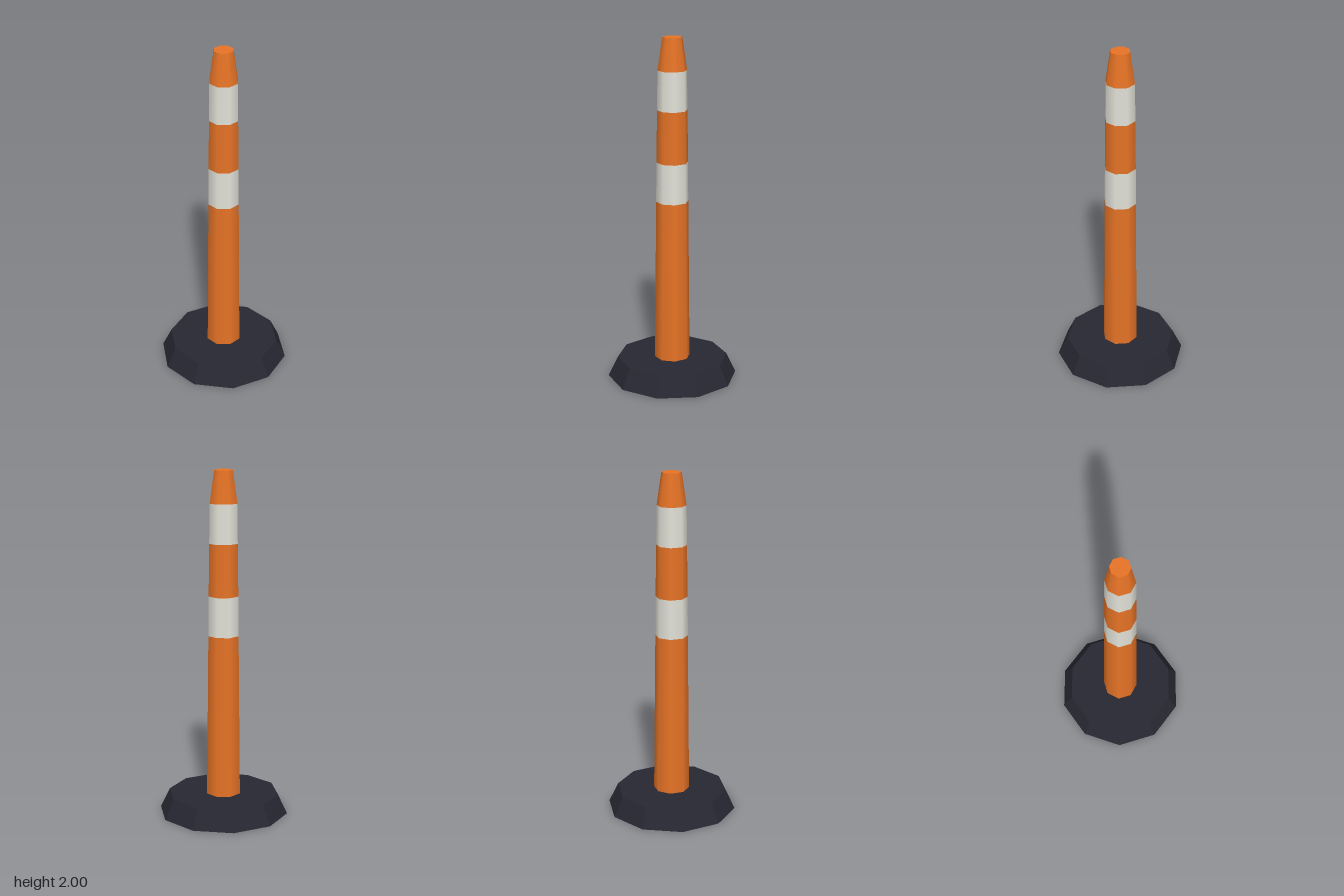
import * as THREE from 'three';

export function createModel() {
  const model = new THREE.Group();
  const material = (name, color, flatShading = false) => {
    const m = new THREE.MeshStandardMaterial({ color, flatShading });
    m.name = name;
    return m;
  };
  const orange = material('orange', 0xe67326);
  const white = material('reflective white', 0xe2e2d8);
  const rubber = material('dark rubber', 0x272732, true);

  // Ten-sided weighted base, one corner facing front
  const base = new THREE.Mesh(new THREE.CylinderGeometry(0.322, 0.377, 0.115, 10), rubber);
  base.name = 'base';
  base.position.y = 0.0575;
  model.add(base);

  // Eight-sided post in stacked bands, flats facing front and sides
  const corner = 1 / Math.cos(Math.PI / 8);
  const bands = [
    // name, bottom y, top y, bottom and top half-widths across flats, material
    ['lowerPost', 0.115, 1.06, 0.096, 0.086, orange],
    ['lowerStripe', 1.06, 1.29, 0.086, 0.084, white],
    ['middlePost', 1.29, 1.59, 0.084, 0.08, orange],
    ['upperStripe', 1.59, 1.815, 0.08, 0.077, white],
    ['taperedTip', 1.815, 2, 0.077, 0.052, orange],
  ];
  for (const [name, y0, y1, w0, w1, mat] of bands) {
    const capped = name === 'taperedTip';
    const geometry = new THREE.CylinderGeometry(
      w1 * corner, w0 * corner, y1 - y0, 8, 1, !capped, Math.PI / 8);
    const band = new THREE.Mesh(geometry, mat);
    band.name = name;
    band.position.y = (y0 + y1) / 2;
    model.add(band);
  }
  return model;
}
